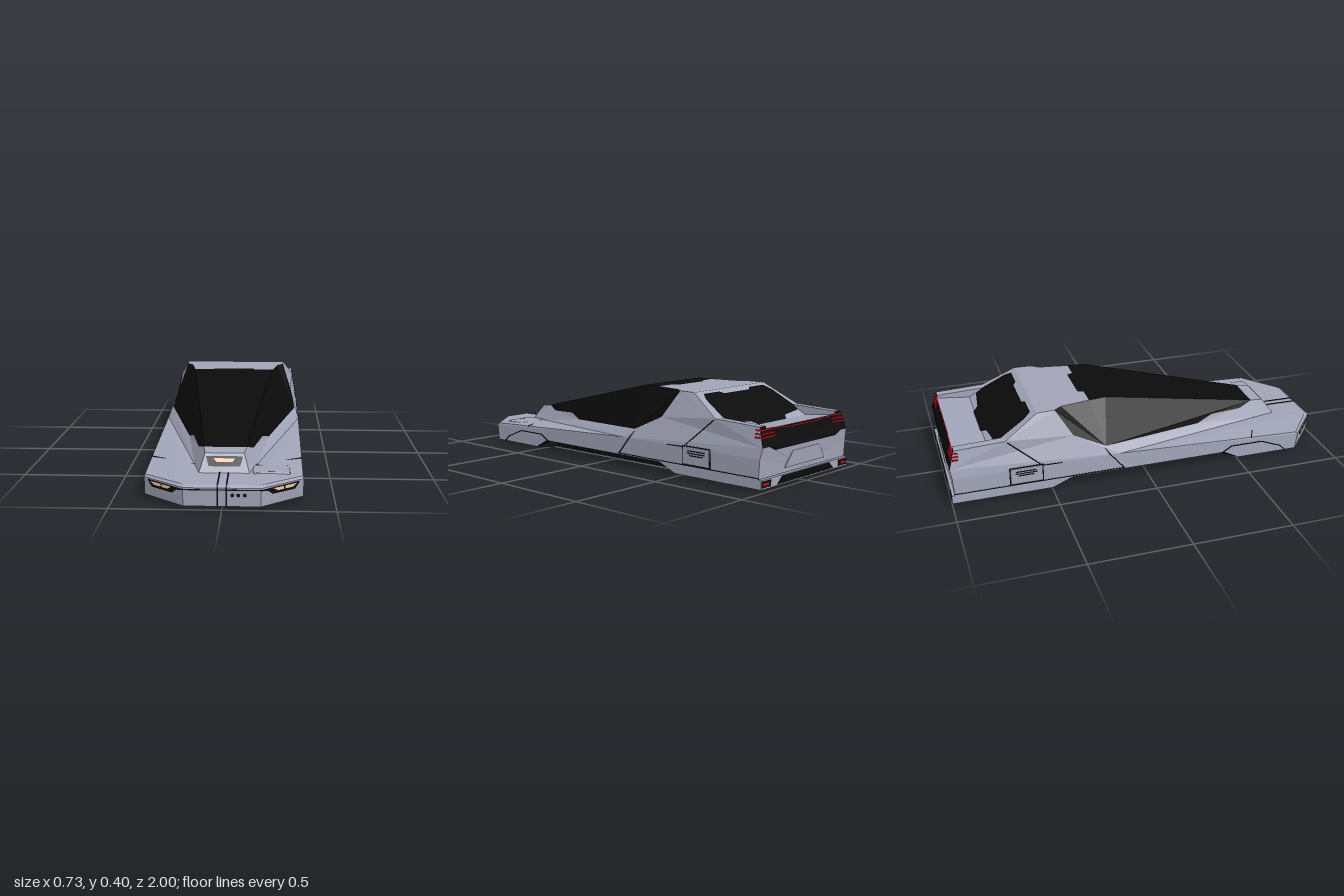
import * as THREE from 'three';
import { RoundedBoxGeometry } from 'three/addons/geometries/RoundedBoxGeometry.js';

const paint = (color) => new THREE.MeshStandardMaterial({ color, flatShading: true, side: THREE.DoubleSide });
const BODY = paint(0xa2a5b8), BLACK = paint(0x0b0b0b), LAMP = paint(0xf0c8a0), RED = paint(0xb01018);

// Flat-shaded panel from corner loops on the +x half, mirrored to -x, facing outward
function panel(name, material, loops, mirror = true) {
  const pos = [];
  for (const loop of loops) {
    const pts = loop.map((p) => new THREE.Vector3(...p));
    const n = new THREE.Vector3();
    pts.forEach((a, i) => n.add(new THREE.Vector3().crossVectors(a, pts[(i + 1) % pts.length])));
    const [ax, ay, az] = n.toArray().map(Math.abs);
    const flat = pts.map((p) => (ax >= ay && ax >= az ? new THREE.Vector2(p.y, p.z)
      : ay >= az ? new THREE.Vector2(p.x, p.z) : new THREE.Vector2(p.x, p.y)));
    for (const tri of THREE.ShapeUtils.triangulateShape(flat, [])) {
      const [a, b, c] = tri.map((i) => pts[i]);
      const mid = a.clone().add(b).add(c).divideScalar(3);
      const out = mid.clone().sub(new THREE.Vector3(0, 0.12, THREE.MathUtils.clamp(mid.z, -0.7, 0.7)));
      const face = b.clone().sub(a).cross(c.clone().sub(a));
      const t = face.dot(out) > 0 ? [a, b, c] : [a, c, b];
      t.forEach((v) => pos.push(v.x, v.y, v.z));
      if (mirror) [t[0], t[2], t[1]].forEach((v) => pos.push(-v.x, v.y, v.z));
    }
  }
  const g = new THREE.BufferGeometry();
  g.setAttribute('position', new THREE.Float32BufferAttribute(pos, 3));
  g.computeVertexNormals();
  const mesh = new THREE.Mesh(g, material);
  mesh.name = name;
  return mesh;
}

// Thin square bars along a path, half sunk into the surface
function seam(name, path, w = 0.005, material = BLACK, mirror = true) {
  const group = new THREE.Group();
  group.name = name;
  for (const s of mirror ? [1, -1] : [1]) {
    for (let i = 1; i < path.length; i++) {
      const [a, b] = [path[i - 1], path[i]].map(([x, y, z]) => new THREE.Vector3(x * s, y, z));
      const bar = new THREE.Mesh(new THREE.BoxGeometry(w, w, a.distanceTo(b) + w / 2), material);
      bar.position.copy(a).lerp(b, 0.5);
      bar.lookAt(b);
      group.add(bar);
    }
  }
  return group;
}

function box(name, material, size, at, radius = 0) {
  const g = radius ? new RoundedBoxGeometry(...size, 2, radius) : new THREE.BoxGeometry(...size);
  const mesh = new THREE.Mesh(g, material);
  mesh.position.set(...at);
  mesh.name = name;
  return mesh;
}

export function createModel() {
  const car = new THREE.Group();
  car.name = 'hoverCar';
  const add = (...parts) => car.add(...parts);

  // Shared corners of the left half
  const n0 = [0.17, 0.015, 0.995], n1 = [0.17, 0.1, 1], c0 = [0.36, 0.015, 0.83], c1 = [0.36, 0.1, 0.84];
  const d1 = [0.165, 0.11, 0.985], d2 = [0.357, 0.11, 0.83];
  const k0 = [0.115, 0.112, 0.81], k1 = [0.145, 0.115, 0.68], m0 = [0.09, 0.19, 0.75];
  const b1 = [0.36, 0.15, -0.15], b2 = [0.36, 0.15, -0.99], b3 = [0.352, 0.2, -0.998];
  const A = [0.1, 0.2, 0.68], B = [0.21, 0.4, -0.18], R1 = [0.22, 0.4, -0.27], R2 = [0.245, 0.4, -0.42];
  const G1 = [0.13, 0.178, 0.6], G2 = [0.17, 0.19, 0.42], G3 = [0.2, 0.165, 0.33];
  const G4 = [0.34, 0.195, -0.22], G5 = [0.32, 0.27, -0.38], G6 = [0.275, 0.4, -0.46];
  const r1 = [0.28, 0.4, -0.55], t0 = [0.335, 0.3, -0.72], t1 = [0.335, 0.29, -0.97];
  const f0 = [0.29, 0.3, -0.72], f1 = [0.29, 0.255, -0.8], f2 = [0.29, 0.275, -0.97], f3 = [0.29, 0.29, -0.97];
  const mid = (p) => [0, p[1], p[2]];

  // Nose, deck and lower sides
  add(panel('nose', BODY, [[mid(n0), n0, n1, mid(n1)], [n0, c0, c1, n1], [mid(n1), n1, d1, mid(d1)], [n1, c1, d2, d1]]));
  add(panel('frontDeck', BODY, [[mid(d1), d1, d2, b1, k1, k0, mid(k0)]]));
  add(panel('lowerSide', BODY, [[c0, c1, d2, b1, b2, [0.36, 0.06, -0.985], [0.36, 0.015, -0.985],
    [0.36, 0.015, -0.5], [0.36, 0.058, -0.4], [0.36, 0.058, 0.42], [0.36, 0.015, 0.5]]]));
  add(panel('shoulder', BODY, [[k1, b1, G4, G3, G2, G1, A]]));
  add(panel('cabinNose', BODY, [[mid(k0), k0, m0, mid(m0)], [mid(m0), m0, A, mid(A)], [k0, k1, A, m0]]));

  // Canopy glass, roof and rear quarters
  add(panel('windshield', BLACK, [[mid(A), A, B, mid(B)],
    [mid(B), B, R1, [0.12, 0.4, -0.27], [0.105, 0.4, -0.3], [0, 0.4, -0.3]]]));
  add(panel('sideWindow', BLACK, [[A, G1, G2, G3, G4, B], [B, G4, G5, G6, R2, R1]]));
  add(panel('roof', BODY, [[[0, 0.4, -0.3], [0.105, 0.4, -0.3], [0.12, 0.4, -0.27], R1, R2, G6, r1, mid(r1)]]));
  add(panel('rearQuarter', BODY, [[b1, b2, b3, t1, t0, r1, G6, G5, G4]]));
  add(panel('rearSlope', BODY, [[mid(r1), r1, t0, f0, f1, mid(f1)]]));
  const slope = ([x, z]) => [x, 0.406 + (0.1 / 0.17) * (z + 0.55), z];
  add(panel('rearWindow', BLACK, [[[0, -0.59], [0.1, -0.59], [0.12, -0.575], [0.24, -0.575], [0.265, -0.61],
    [0.288, -0.73], [0.275, -0.765], [0.14, -0.78], [0.11, -0.808], [0, -0.808]].map(slope)]));
  add(panel('rearDeck', BODY, [[mid(f1), f1, f2, mid(f2)]]));
  add(panel('rearFin', BODY, [[f0, t0, t1, f3], [f0, f1, f2, f3]]));

  // Tail
  const s0 = [0.25, 0.18, -0.998], s1 = [0.3, 0.2, -0.998];
  add(panel('tailPanel', BLACK, [[mid(f2), f2, f3, t1, b3, s1, s0, mid(s0)]]));
  add(panel('tailLower', BODY, [[mid(s0), s0, s1, b3, b2, [0.36, 0.06, -0.985], [0, 0.06, -0.985]]]));
  add(panel('tailPlate', BODY, [[[0, 0.155, -1], [0.11, 0.155, -1], [0.16, 0.085, -0.995], [0, 0.085, -0.995]]]));
  add(seam('tailPlateEdge', [[0, 0.155, -0.996], [0.11, 0.155, -0.996], [0.16, 0.085, -0.99]], 0.006, BODY));
  add(box('rearBumper', BODY, [0.72, 0.043, 0.03], [0, 0.0365, -0.984]));
  add(panel('diffuser', BLACK, [[[0, 0.055, -1], [0.2, 0.055, -1], [0.24, 0.02, -1], [0, 0.02, -1]]]));
  add(seam('tailLightLine', [[0, 0.268, -0.973], [0.12, 0.268, -0.973], [0.16, 0.274, -0.972], [0.3, 0.274, -0.972]], 0.005, RED));
  for (const s of [1, -1]) {
    for (let i = 0; i < 3; i++) {
      const y = 0.275 - i * 0.016;
      add(box('tailLight', RED, [0.1, 0.008, 0.008], [s * (0.287 + i * 0.002), y, -0.97 - (0.29 - y) / 3]));
      add(box('tailLightSide', RED, [0.008, 0.008, 0.03], [s * (0.335 + i * 0.004), y, -0.965]));
    }
    add(box('bumperLightFrame', BLACK, [0.07, 0.03, 0.012], [s * 0.32, 0.037, -0.995]));
    add(box('bumperLight', RED, [0.045, 0.012, 0.012], [s * 0.325, 0.037, -0.9955]));
  }

  // Headlamps on the nose corners
  const corner = (o) => ([x, y]) => [x + 0.64 * o, y, 1 - (x - 0.17) * 0.842 + 0.76 * o];
  add(panel('headlampFrame', BLACK, [[[0.175, 0.094], [0.34, 0.096], [0.335, 0.085], [0.32, 0.064],
    [0.22, 0.064], [0.2, 0.083], [0.175, 0.088]].map(corner(0.002))]));
  add(panel('headlamp', LAMP, [[[0.222, 0.09], [0.268, 0.09], [0.268, 0.076], [0.242, 0.076]],
    [[0.275, 0.09], [0.325, 0.09], [0.308, 0.076], [0.275, 0.076]]].map((l) => l.map(corner(0.004)))));
  add(seam('noseLine', [[-0.175, 0.091, 0.998], [0.175, 0.091, 0.998]], 0.005, BLACK, false));
  add(seam('hoodLine', [[0.02, 0.015, 0.994], [0.02, 0.1, 0.998], [0.02, 0.11, 0.985], [0.02, 0.112, 0.81]], 0.006));
  for (const x of [0.045, 0.072, 0.1]) {
    const dot = new THREE.Mesh(new THREE.CylinderGeometry(0.008, 0.008, 0.006, 16), BLACK);
    dot.rotation.x = Math.PI / 2;
    dot.position.set(x, 0.067, 0.997);
    dot.name = 'noseSensor';
    add(dot);
  }

  // Centre lamp on the cabin nose, and the hatch beside it
  const face = (o) => ([x, y]) => [x, y, 0.81 - (y - 0.112) * 0.77 + o];
  add(panel('centreLampFrame', BLACK, [[[0, 0.178], [0.085, 0.178], [0.072, 0.138], [0, 0.138]].map(face(0.002))]));
  add(panel('centreLamp', LAMP, [[[0, 0.17], [0.05, 0.17], [0.036, 0.156], [0, 0.156]].map(face(0.004))]));
  add(box('deckHatch', BODY, [0.17, 0.018, 0.13], [0.215, 0.111, 0.755], 0.008));
  add(box('hatchHandle', BLACK, [0.03, 0.004, 0.006], [0.215, 0.119, 0.80]));

  // Panel seams
  add(seam('deckSeam', [[0.36, 0.121, 0.57], [0.145, 0.115, 0.68]]));
  add(seam('frontSideSeam', [[0.36, 0.015, 0.77], [0.36, 0.045, 0.74], [0.36, 0.06, 0.7], [0.36, 0.088, 0.63],
    [0.36, 0.088, 0.46], [0.36, 0.058, 0.41]]));
  add(seam('doorSeam', [[0.36, 0.065, -0.13], [0.36, 0.15, -0.2], [0.343, 0.19, -0.23]]));
  add(seam('sillSeam', [[0.36, 0.065, -0.13], [0.36, 0.065, -0.985]], 0.004));
  add(seam('quarterSeam', [[0.36, 0.15, -0.45], [0.36, 0.152, -0.55], [0.337, 0.29, -0.71]], 0.004));

  // Side vents
  for (const s of [1, -1]) {
    add(box('sideVent', BODY, [0.02, 0.085, 0.16], [s * 0.354, 0.113, -0.63], 0.004));
    add(box('sideVentGap', BLACK, [0.006, 0.093, 0.17], [s * 0.3585, 0.113, -0.63]));
    for (const [y, l] of [[0.137, 0.1], [0.126, 0.11], [0.115, 0.08]])
      add(box('ventSlit', BLACK, [0.004, 0.005, l], [s * 0.3635, y, -0.632]));
  }

  // Underside with dark side channels
  add(panel('underside', BODY, [[[0, 0.015, 0.995], n0, c0, [0.36, 0.015, 0.5], [0.28, 0.015, 0.42],
    [0.28, 0.015, -0.4], [0.36, 0.015, -0.5], [0.36, 0.015, -0.985], [0, 0.015, -0.985]]]));
  add(panel('sideChannel', BLACK, [
    [[0.36, 0.058, 0.42], [0.36, 0.058, -0.4], [0.28, 0.058, -0.4], [0.28, 0.058, 0.42]],
    [[0.28, 0.015, 0.42], [0.28, 0.058, 0.42], [0.28, 0.058, -0.4], [0.28, 0.015, -0.4]],
    [[0.36, 0.015, 0.5], [0.36, 0.058, 0.42], [0.28, 0.058, 0.42], [0.28, 0.015, 0.42]],
    [[0.36, 0.015, -0.5], [0.36, 0.058, -0.4], [0.28, 0.058, -0.4], [0.28, 0.015, -0.4]]]));
  const p = [[0, 0.66], [0.17, 0.66], [0.265, 0.5], [0.265, -0.48], [0.2, -0.6], [0, -0.6]];
  const low = p.map(([x, z]) => [x, 0, z]), high = p.map(([x, z]) => [x * 1.06, 0.015, z * 1.03]);
  add(panel('bellyPan', BODY, [low, ...p.slice(1).map((_, i) => [low[i], low[i + 1], high[i + 1], high[i]])]));
  add(panel('rearThruster', BLACK, [[[0, 0.012, -0.66], [0.11, 0.012, -0.66], [0.18, 0.012, -0.8],
    [0.11, 0.012, -0.95], [0, 0.012, -0.95]]]));
  add(seam('bellySeam', [[0, 0.002, 0.2], [0.1, 0.002, 0.2], [0.15, 0.002, 0.1], [0.15, 0.002, -0.1], [0.08, 0.002, -0.2],
    [0.08, 0.002, -0.35], [0.16, 0.002, -0.45], [0.16, 0.002, -0.56]]));
  return car;
}
